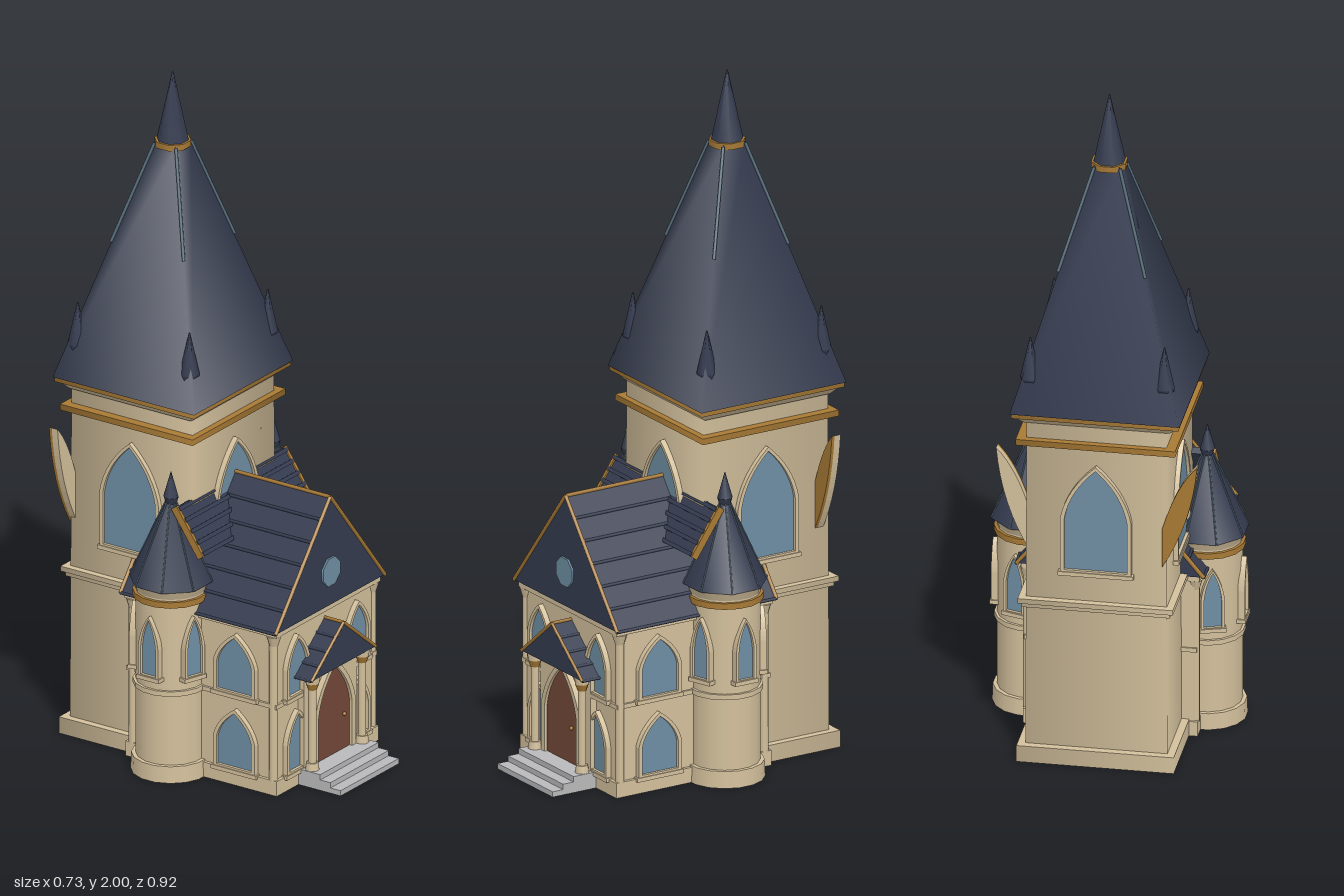
import * as THREE from 'three';

const mat = (name, color, side = THREE.FrontSide) => {
  const m = new THREE.MeshStandardMaterial({ color, side });
  m.name = name;
  return m;
};

export function createModel() {
  const root = new THREE.Group();
  root.name = 'castleChapel';
  const stone = mat('cream stone', 0xd3c09c);
  const slate = mat('navy slate', 0x353c50);
  const gold = mat('aged gold', 0xa87a35);
  const glass = mat('blue glass', 0x6f8ea4);
  const wood = mat('door wood', 0x734838);
  const paving = mat('step grey', 0xb9b9bb);
  const lead = mat('lead grey', 0x566c7a);

  const add = (name, geo, m, x = 0, y = 0, z = 0, parent = root) => {
    const mesh = new THREE.Mesh(geo, m);
    mesh.name = name;
    mesh.position.set(x, y, z);
    parent.add(mesh);
    return mesh;
  };
  // box given by its extents
  const box = (name, m, x0, x1, y0, y1, z0, z1) =>
    add(name, new THREE.BoxGeometry(x1 - x0, y1 - y0, z1 - z0), m, (x0 + x1) / 2, (y0 + y1) / 2, (z0 + z1) / 2);
  // turned part standing between two heights
  const turned = (name, m, r0, r1, y0, y1, x, z, sides = 16) => {
    const g = new THREE.CylinderGeometry(r1, r0, y1 - y0, sides);
    g.rotateY(Math.PI / sides);
    return add(name, g, m, x, (y0 + y1) / 2, z);
  };
  // square block with softly shaded sides, half widths at bottom and top
  const square = (name, m, h0, h1, y0, y1, x, z, zScale = 1) => {
    const s = turned(name, m, h0 * Math.SQRT2, h1 * Math.SQRT2, y0, y1, x, z, 4);
    s.scale.z = zScale;
    return s;
  };
  // round bar between two points
  const beam = (name, m, a, b, r) => {
    const p = new THREE.Vector3(...a), q = new THREE.Vector3(...b);
    const mesh = add(name, new THREE.CylinderGeometry(r, r, p.distanceTo(q), 6), m);
    mesh.position.copy(p).add(q).multiplyScalar(0.5);
    mesh.quaternion.setFromUnitVectors(new THREE.Vector3(0, 1, 0), q.sub(p).normalize());
    return mesh;
  };
  const extrude = (shape, depth) => new THREE.ExtrudeGeometry(shape, { depth, bevelEnabled: false, curveSegments: 8 });
  // pointed arch outline
  const arch = (w, h, y = 0, T = THREE.Shape) => {
    const s = new T();
    s.moveTo(-w / 2, y);
    s.lineTo(w / 2, y);
    s.lineTo(w / 2, y + h * 0.5);
    s.quadraticCurveTo(w * 0.42, y + h * 0.78, 0, y + h);
    s.quadraticCurveTo(-w * 0.42, y + h * 0.78, -w / 2, y + h * 0.5);
    s.closePath();
    return s;
  };
  // framed lancet opening with a sill, facing +z before turning
  const lancet = (name, w, h, x, y, z, turn = 0, fill = glass, t = 0.012) => {
    const g = new THREE.Group();
    g.name = name;
    const outer = arch(w + 2 * t, h + 2 * t, -t);
    outer.holes.push(arch(w, h, 0, THREE.Path));
    add('archFrame', extrude(outer, 0.02), stone, 0, 0, -0.005, g);
    add('archPanel', extrude(arch(w, h), 0.008), fill, 0, 0, -0.002, g);
    add('sill', new THREE.BoxGeometry(w + 3 * t, 0.012, 0.03), stone, 0, -t, 0.003, g);
    g.position.set(x, y, z);
    g.rotation.y = turn;
    root.add(g);
  };
  // pitched roof along z with gold trims and slate courses
  const gable = (name, hw, y0, y1, z0, z1, courses, r) => {
    const s = new THREE.Shape([new THREE.Vector2(-hw, y0), new THREE.Vector2(hw, y0), new THREE.Vector2(0, y1)]);
    add(name, extrude(s, z1 - z0), slate, 0, 0, z0);
    beam(name + 'Ridge', gold, [0, y1, z0], [0, y1, z1], r);
    for (const sx of [-1, 1]) {
      for (const z of [z0, z1]) beam(name + 'Rake', gold, [sx * hw, y0, z], [0, y1, z], r);
      for (let i = 0; i < courses; i++) {
        const t = i / courses;
        beam(name + 'Course', slate, [sx * hw * (1 - t), y0 + (y1 - y0) * t, z0], [sx * hw * (1 - t), y0 + (y1 - y0) * t, z1], r * 0.8);
      }
    }
  };

  // Great tower
  const tz = -0.217, q = 1.04;
  square('towerPlinth', stone, 0.225, 0.225, 0, 0.05, 0, tz, q);
  square('towerBody', stone, 0.203, 0.2, 0.05, 1.08, 0, tz, q);
  square('towerStringCourse', stone, 0.222, 0.222, 0.495, 0.51, 0, tz, q);
  square('towerStringCourseLower', stone, 0.212, 0.212, 0.48, 0.495, 0, tz, q);
  square('towerGoldBand', gold, 0.228, 0.228, 0.99, 1.008, 0, tz);
  square('towerCornice', stone, 0.21, 0.23, 1.055, 1.078, 0, tz);
  square('towerEave', gold, 0.239, 0.239, 1.078, 1.094, 0, tz);
  square('towerRoof', slate, 0.243, 0.036, 1.092, 1.79, 0, tz);
  turned('spireCollar', gold, 0.053, 0.053, 1.778, 1.796, 0, tz, 8);
  turned('spire', slate, 0.046, 0.002, 1.796, 2, 0, tz, 8);
  for (const sx of [-1, 1]) for (const sz of [-1, 1]) {
    beam('roofHip', lead, [sx * 0.125, 1.494, tz + sz * 0.125], [sx * 0.037, 1.787, tz + sz * 0.037], 0.005);
    turned('cornerPinnacleBase', slate, 0.012, 0.029, 1.12, 1.19, sx * 0.192, tz + sz * 0.192, 6);
    turned('cornerPinnacle', slate, 0.029, 0.002, 1.19, 1.315, sx * 0.192, tz + sz * 0.192, 6);
  }
  for (let i = 0; i < 4; i++) {
    const a = i * Math.PI / 2, d = i % 2 ? 0.2 : 0.21;
    lancet('towerWindow', 0.18, 0.315, Math.sin(a) * d, 0.61, tz + Math.cos(a) * d, a);
  }

  // Leaf-shaped fins on the rear corners
  for (const sx of [-1, 1]) {
    const s = new THREE.Shape();
    s.moveTo(sx * 0.19, 0.64);
    s.quadraticCurveTo(sx * 0.275, 0.78, sx * 0.29, 0.96);
    s.quadraticCurveTo(sx * 0.23, 0.9, sx * 0.19, 0.76);
    s.closePath();
    const z = sx < 0 ? -0.43 : -0.41;
    add('cornerFin', extrude(s, 0.02), stone, 0, 0, z);
    add('cornerFinTrim', extrude(s, 0.009), gold, 0, 0, sx < 0 ? z - 0.009 : z + 0.02);
  }

  // Front hall
  box('hallBody', stone, -0.24, 0.24, 0, 0.5, -0.2, 0.305);
  box('hallPlinth', stone, -0.25, 0.25, 0, 0.045, -0.205, 0.315);
  box('hallStringCourse', stone, -0.247, 0.247, 0.262, 0.275, -0.204, 0.312);
  box('hallCornice', stone, -0.255, 0.255, 0.485, 0.502, -0.205, 0.318);
  for (const sx of [-1, 1]) {
    for (const z of [-0.185, 0.298]) {
      turned('cornerShaft', stone, 0.013, 0.013, 0.04, 0.49, sx * 0.24, z, 8);
      turned('cornerCapital', stone, 0.013, 0.022, 0.455, 0.485, sx * 0.24, z, 8);
    }
    for (const y of [0.055, 0.285]) {
      lancet('hallSideWindow', 0.12, 0.165, sx * 0.241, y, 0.172, sx * Math.PI / 2);
      lancet('hallFrontWindow', 0.09, 0.165, sx * 0.148, y, 0.306);
    }
  }
  gable('hallRoof', 0.268, 0.502, 0.832, -0.21, 0.324, 6, 0.006);
  const rose = add('gableWindow', new THREE.CylinderGeometry(0.045, 0.045, 0.008, 8), glass, 0, 0.605, 0.326);
  rose.rotation.set(Math.PI / 2, Math.PI / 8, 0);

  // Pent roof across the tower front
  const pent = new THREE.Group();
  pent.name = 'pentRoof';
  pent.position.set(0, 0.74, 0.02);
  pent.rotation.x = Math.atan2(0.13, 0.09);
  root.add(pent);
  add('pentSlab', new THREE.BoxGeometry(0.53, 0.016, 0.158), slate, 0, 0, 0, pent);
  for (let i = 0; i < 5; i++) add('pentCourse', new THREE.BoxGeometry(0.53, 0.01, 0.012), slate, 0, 0.01, -0.07 + i * 0.036, pent);
  for (const sx of [-1, 1]) add('pentTrim', new THREE.BoxGeometry(0.01, 0.022, 0.162), gold, sx * 0.265, 0.002, 0, pent);

  // Side turrets
  for (const sx of [-1, 1]) {
    const x = sx * 0.25, z = -0.048;
    turned('turretPlinth', stone, 0.114, 0.112, 0, 0.05, x, z);
    turned('turretBody', stone, 0.1, 0.1, 0.05, 0.585, x, z);
    turned('turretStringCourse', stone, 0.108, 0.108, 0.262, 0.277, x, z);
    turned('turretGoldBand', gold, 0.109, 0.109, 0.532, 0.55, x, z);
    turned('turretCornice', stone, 0.1, 0.112, 0.555, 0.582, x, z);
    turned('turretRoof', slate, 0.12, 0.012, 0.58, 0.82, x, z, 8);
    turned('turretFinialBall', slate, 0.014, 0.022, 0.805, 0.83, x, z, 8);
    turned('turretFinial', slate, 0.022, 0.001, 0.83, 0.905, x, z, 8);
    for (let i = 0; i < 8; i++) {
      const a = (i + 0.5) * Math.PI / 4, c = Math.cos(a), s = Math.sin(a);
      beam('turretRib', lead, [x + c * 0.119, 0.582, z + s * 0.119], [x + c * 0.014, 0.818, z + s * 0.014], 0.0025);
    }
    for (const k of [0.2, 1, 1.8]) {
      const a = sx * k * Math.PI / 2;
      lancet('turretWindow', 0.05, 0.17, x + Math.sin(a) * 0.098, 0.32, z + Math.cos(a) * 0.098, a, glass, 0.009);
    }
  }

  // Entrance porch
  box('porchWall', stone, -0.13, 0.13, 0, 0.335, 0.29, 0.325);
  lancet('door', 0.165, 0.275, 0, 0.047, 0.327, 0, wood, 0.018);
  add('doorKnob', new THREE.SphereGeometry(0.006, 8, 6), gold, 0.05, 0.155, 0.338);
  for (const sx of [-1, 1]) {
    turned('porchColumnBase', stone, 0.021, 0.017, 0.045, 0.07, sx * 0.122, 0.348, 8);
    turned('porchColumn', stone, 0.012, 0.012, 0.07, 0.3, sx * 0.122, 0.348, 12);
    turned('porchCapital', gold, 0.013, 0.02, 0.292, 0.312, sx * 0.122, 0.348, 8);
    turned('porchImpost', stone, 0.02, 0.022, 0.312, 0.336, sx * 0.122, 0.348, 8);
  }
  gable('porchRoof', 0.158, 0.332, 0.46, 0.285, 0.37, 4, 0.005);
  [0.46, 0.425, 0.39].forEach((z, i) => box('frontStep', paving, -0.143, 0.143, i * 0.016, (i + 1) * 0.016, 0.3, z));

  return root;
}
